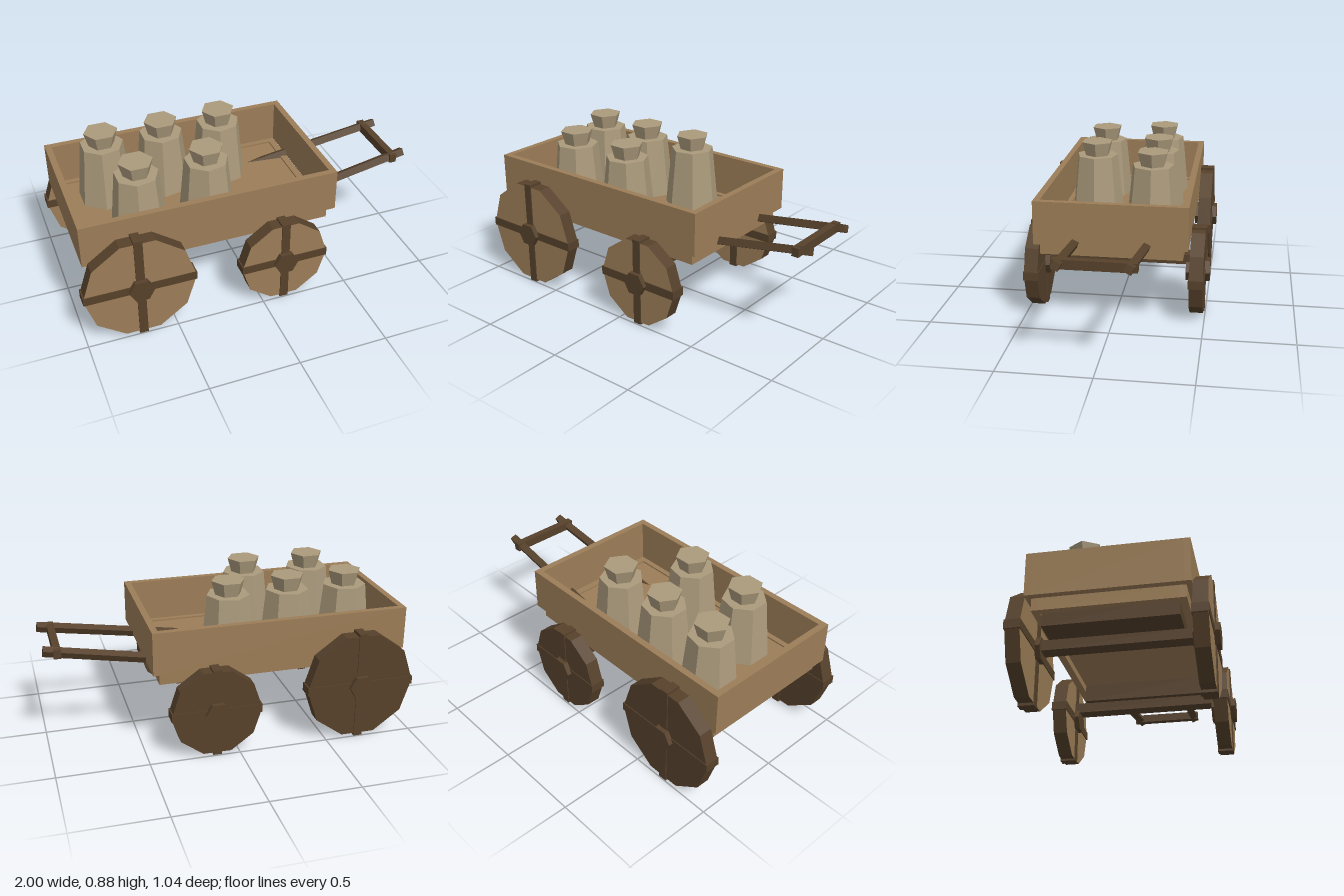
import * as THREE from 'three';

const mat = (name, color) => {
  const m = new THREE.MeshStandardMaterial({ color });
  m.name = name;
  return m;
};

export function createModel() {
  const wood = mat('light wood', 0x9c7d57);
  const dark = mat('dark wood', 0x56412b);
  const metal = mat('dull metal', 0xab9a7c);
  const cart = new THREE.Group();
  cart.name = 'cart';

  const add = (parent, name, geo, material, x = 0, y = 0, z = 0) => {
    const mesh = new THREE.Mesh(geo.index ? geo.toNonIndexed() : geo, material);
    mesh.geometry.computeVertexNormals(); // faceted look
    mesh.name = name;
    mesh.position.set(x, y, z);
    parent.add(mesh);
    return mesh;
  };
  // Box given by its minimum and maximum corners
  const box = (name, material, [x0, y0, z0], [x1, y1, z1]) =>
    add(cart, name, new THREE.BoxGeometry(x1 - x0, y1 - y0, z1 - z0), material,
      (x0 + x1) / 2, (y0 + y1) / 2, (z0 + z1) / 2);
  // Four boards around a rectangle
  const frame = (name, x0, x1, y0, y1, z, t) => {
    box(name + 'Side', wood, [x0, y0, z - t], [x1, y1, z]);
    box(name + 'Side', wood, [x0, y0, -z], [x1, y1, t - z]);
    box(name + 'End', wood, [x0, y0, t - z], [x0 + t, y1, z - t]);
    box(name + 'End', wood, [x1 - t, y0, t - z], [x1, y1, z - t]);
  };

  // Open box on a narrower frame, with the floor set inside the frame
  frame('box', -0.97, 0.452, 0.474, 0.714, 0.413, 0.035);
  frame('bedFrame', -0.932, 0.415, 0.407, 0.476, 0.385, 0.038);
  box('floor', wood, [-0.92, 0.446, -0.37], [0.4, 0.467, 0.37]);

  // Wheels: light face towards +z, dark rim and back, crossed straps and hub
  const wheel = (x, y, r, z) => {
    const g = new THREE.Group();
    g.name = 'wheel';
    g.position.set(x, y, z);
    cart.add(g);
    const disc = new THREE.CylinderGeometry(r, r, 0.076, 10);
    disc.rotateY(Math.PI / 2).rotateX(Math.PI / 2);
    add(g, 'wheelDisc', disc, [dark, wood, dark]);
    add(g, 'uprightStrap', new THREE.BoxGeometry(0.048, 2 * r, 0.086), dark);
    add(g, 'levelStrap', new THREE.BoxGeometry(2 * r, 0.048, 0.085), dark);
    const hub = new THREE.CylinderGeometry(0.069, 0.069, 0.134, 6);
    hub.rotateY(Math.PI / 2).rotateX(Math.PI / 2);
    add(g, 'hub', hub, dark);
  };

  // Axles with the bolsters that carry the floor
  for (const [x, y, r, b0, b1] of [[-0.691, 0.309, 0.308, -0.88, -0.64], [0.126, 0.253, 0.25, 0.056, 0.196]]) {
    for (const s of [-1, 1]) wheel(x, y, r, s * 0.453);
    box('axle', dark, [x - 0.04, 0.29, -0.42], [x + 0.04, 0.347, 0.42]);
    box('bolster', dark, [b0, 0.346, -0.345], [b1, 0.45, 0.345]);
  }

  // Rolled square shafts that rise and converge slightly, joined by a crossbar
  for (const s of [-1, 1]) {
    const a = new THREE.Vector3(0.15, 0.436, s * 0.2);
    const b = new THREE.Vector3(0.994, 0.578, s * 0.175);
    const dir = b.clone().sub(a);
    const geo = new THREE.BoxGeometry(dir.length(), 0.041, 0.041);
    geo.rotateX(-0.45);
    const mid = a.add(b).multiplyScalar(0.5);
    const shaft = add(cart, 'pullShaft', geo, dark, mid.x, mid.y, mid.z);
    shaft.quaternion.setFromUnitVectors(new THREE.Vector3(1, 0, 0), dir.normalize());
  }
  box('crossbar', dark, [0.9, 0.54, -0.209], [0.94, 0.589, 0.209]);

  // Churns: seven-sided body, six-sided flared neck
  for (const [x, z] of [[-0.692, -0.176], [-0.355, -0.176], [-0.018, -0.176], [-0.595, 0.172], [-0.21, 0.172]]) {
    const body = new THREE.CylinderGeometry(0.12, 0.155, 0.342, 7).rotateY(Math.PI / 2);
    add(cart, 'churnBody', body, metal, x, 0.634, z);
    const neck = new THREE.CylinderGeometry(0.094, 0.072, 0.08, 6).rotateY(Math.PI / 2);
    add(cart, 'churnNeck', neck, metal, x, 0.844, z);
  }

  return cart;
}
